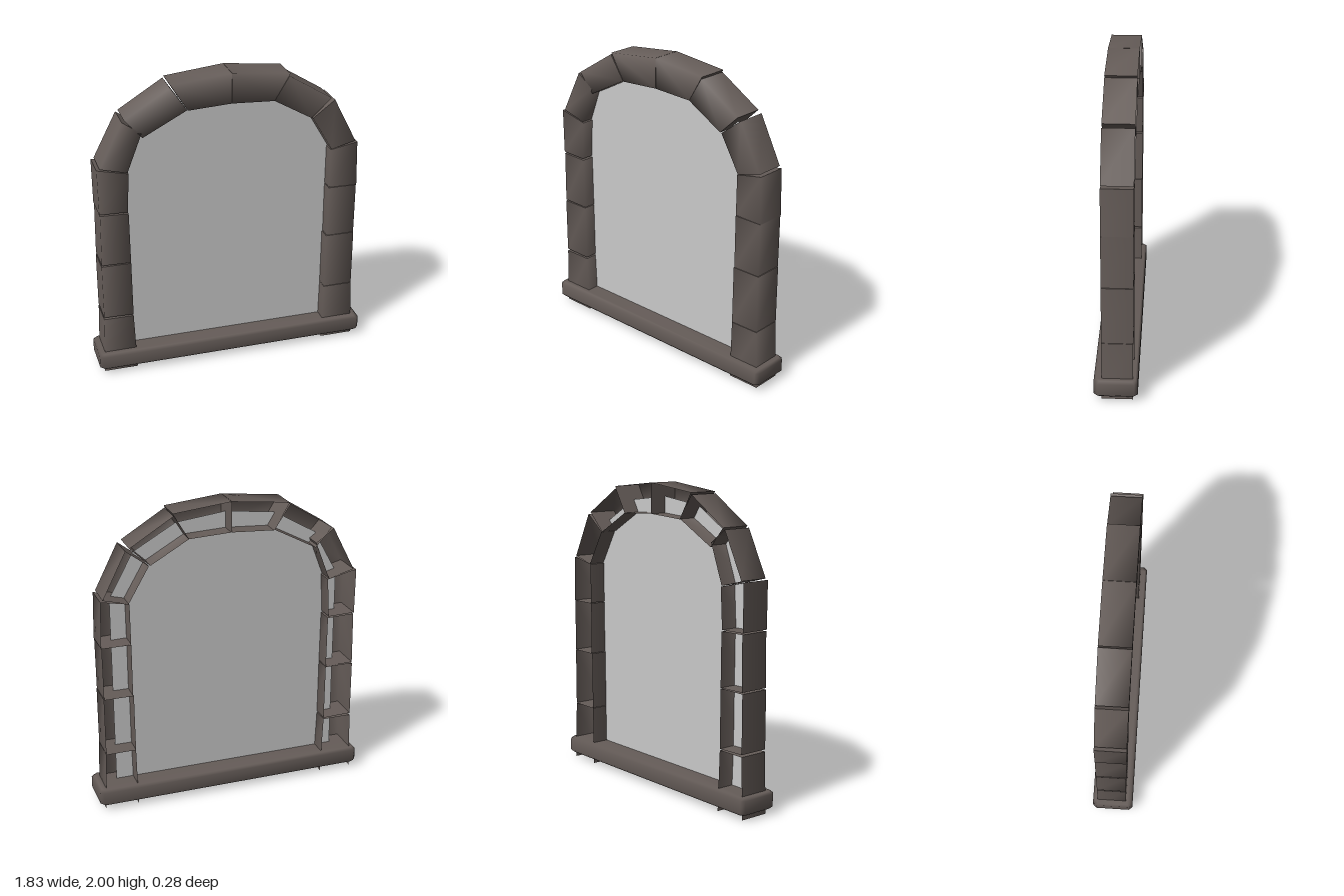
import * as THREE from 'three';

const stoneMat = new THREE.MeshStandardMaterial({ color: 0x655c58, side: THREE.DoubleSide });
stoneMat.name = 'stone';
const paneMat = new THREE.MeshStandardMaterial({ color: 0xc9c9c9, side: THREE.DoubleSide });
paneMat.name = 'pale grey pane';

const FRONT = 0.09, BACK = -0.107;

function build(points, index) {
  const g = new THREE.BufferGeometry();
  g.setAttribute('position', new THREE.Float32BufferAttribute(points.flat(), 3));
  g.setIndex(index);
  g.computeVertexNormals();
  return g;
}

// Hollow stone, open at the back; each end is [outerX, outerY, innerX, innerY]
function stoneGeometry(a, b) {
  const section = ([ox, oy, ix, iy]) => [[ox, oy, BACK], [ox, oy, FRONT], [ix, iy, FRONT], [ix, iy, BACK]];
  const A = section(a), B = section(b), index = [];
  for (let i = 0; i < 3; i++) index.push(i, i + 1, i + 5, i, i + 5, i + 4);
  // end caps with their own vertices keep the joints sharp; the feet stay open
  if (a[1] > 0) index.push(8, 10, 9, 8, 11, 10);
  if (b[1] > 0) index.push(12, 13, 14, 12, 14, 15);
  return build([...A, ...B, ...A, ...B], index);
}

// Sill with softened edges, open underneath
function sillGeometry() {
  const hx = 0.913, hz = 0.138, c = 0.022;
  const ring = (y, inset) => {
    const x = hx - inset, z = hz - inset;
    return [[x - c, z], [x, z - c], [x, c - z], [x - c, -z], [c - x, -z], [-x, c - z], [-x, z - c], [c - x, z]]
      .map(([px, pz]) => [px, y, pz]);
  };
  const rings = [ring(0.036, 0.015), ring(0.052, 0), ring(0.132, 0), ring(0.148, 0.015)];
  const index = [];
  for (let r = 0; r < 3; r++) {
    for (let i = 0; i < 8; i++) {
      const p = r * 8 + i, q = r * 8 + (i + 1) % 8;
      index.push(p, q, q + 8, p, q + 8, p + 8);
    }
  }
  for (let i = 1; i < 7; i++) index.push(24, 24 + i, 25 + i); // top
  return build(rings.flat(), index);
}

// Flat pane ending inside the hollow stones
function paneGeometry() {
  const half = [[0.77, 0.012], [0.77, 1.42], [0.61, 1.71], [0.33, 1.87], [0, 1.91]];
  const outline = [...half, ...half.slice(0, 4).reverse().map(([x, y]) => [-x, y])];
  const shape = new THREE.Shape(outline.map(([x, y]) => new THREE.Vector2(x, y)));
  return new THREE.ShapeGeometry(shape).translate(0, 0, 0.007);
}

export function createModel() {
  const model = new THREE.Group();
  model.name = 'archedWindow';
  const add = (name, geometry, material, parent = model) => {
    const mesh = new THREE.Mesh(geometry, material);
    mesh.name = name;
    parent.add(mesh);
  };

  // Stones from the foot of the -x column, over the arch, down the +x column
  const stones = [
    [[-0.877, 0, -0.655, 0], [-0.865, 0.395, -0.67, 0.395]],
    [[-0.865, 0.41, -0.67, 0.405], [-0.865, 0.785, -0.672, 0.785]],
    [[-0.863, 0.795, -0.672, 0.79], [-0.858, 1.145, -0.675, 1.14]],
    [[-0.862, 1.155, -0.68, 1.15], [-0.865, 1.457, -0.665, 1.412]],
    [[-0.845, 1.463, -0.672, 1.418], [-0.695, 1.755, -0.575, 1.67]],
    [[-0.68, 1.765, -0.57, 1.64], [-0.39, 1.945, -0.285, 1.79]],
    [[-0.385, 1.957, -0.28, 1.787], [0, 2, 0, 1.803]],
    [[0.002, 2, 0.004, 1.803], [0.38, 1.96, 0.28, 1.79]],
    [[0.375, 1.945, 0.28, 1.79], [0.66, 1.77, 0.53, 1.647]],
    [[0.685, 1.755, 0.54, 1.645], [0.837, 1.457, 0.675, 1.415]],
    [[0.852, 1.447, 0.67, 1.412], [0.86, 1.14, 0.668, 1.145]],
    [[0.857, 1.14, 0.667, 1.14], [0.855, 0.79, 0.667, 0.79]],
    [[0.857, 0.787, 0.662, 0.787], [0.857, 0.4, 0.66, 0.4]],
    [[0.857, 0.397, 0.66, 0.397], [0.873, 0, 0.653, 0]],
  ];
  const surround = new THREE.Group();
  surround.name = 'stoneSurround';
  model.add(surround);
  stones.forEach(([a, b], i) => add(`stone${i + 1}`, stoneGeometry(a, b), stoneMat, surround));

  add('sill', sillGeometry(), stoneMat);
  add('pane', paneGeometry(), paneMat);
  return model;
}
